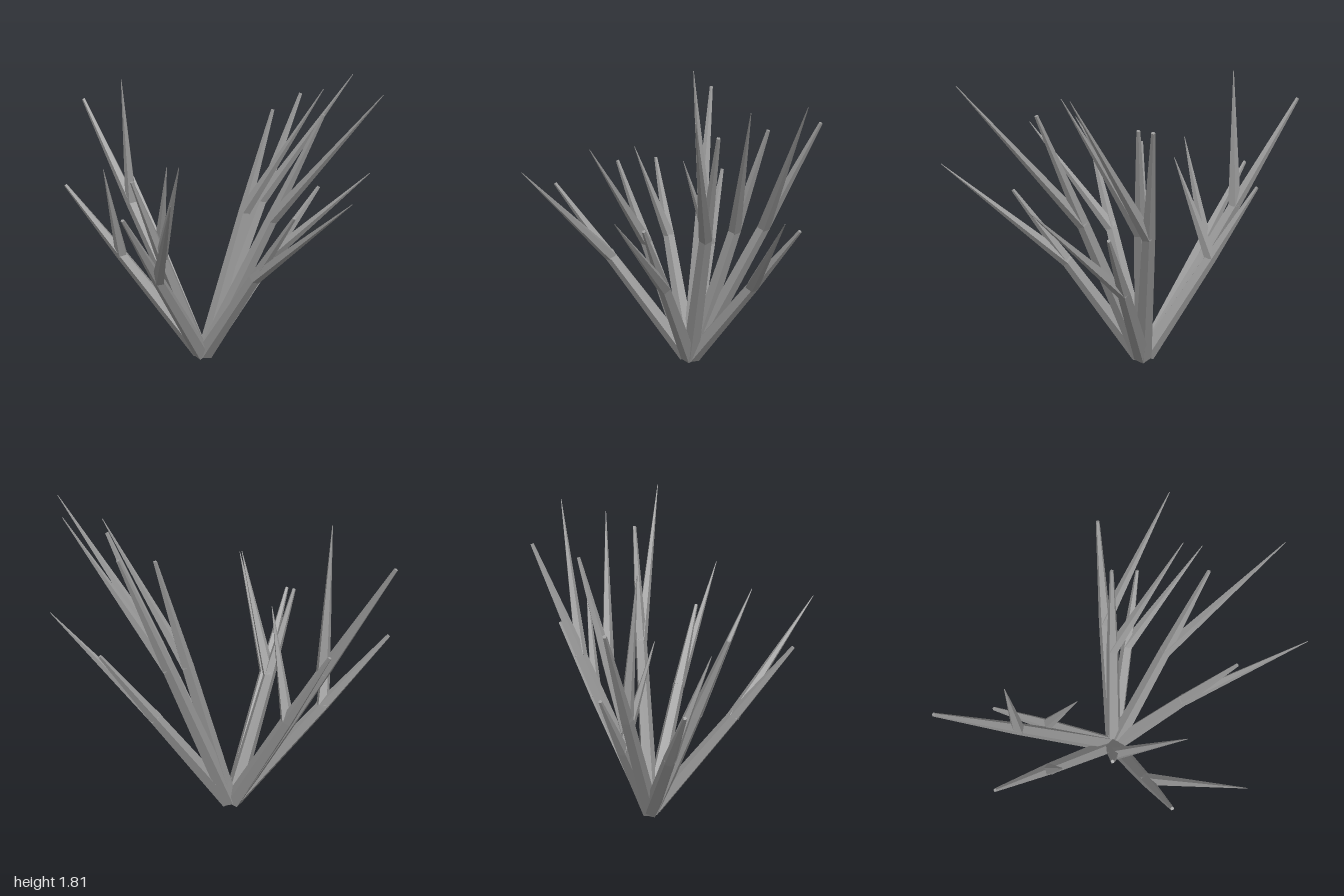
import * as THREE from 'three';

const UP = new THREE.Vector3(0, 1, 0);
const CENTRE = new THREE.Vector3(-0.08, 0.035, -0.2);
const SIDES = 5;
const FORK = 0.59; // share of the stem's length where its side spike grows

// each stem: its blunt tip, then the pointed tip of its side spike
const STEMS = [
  [[0.41, 1.64, -0.81], [0.76, 1.81, -0.6]],
  [[0.57, 1.07, -0.66], [0.91, 1.24, -0.45]],
  [[0.28, 1.58, -0.55], [0.62, 1.76, -0.34]],
  [[0.65, 1.645, -0.16], [1.0, 1.815, 0.05]],
  [[0.56, 1.13, 0.22], [0.9, 1.3, 0.43]],
  [[-0.32, 1.165, 0.6], [0.02, 1.34, 0.82]],
  [[-0.4, 1.265, 0.2], [-0.05, 1.435, 0.42]],
  [[-0.97, 1.11, -0.16], [-0.63, 1.285, 0.05]],
  [[-0.98, 1.585, -0.55], [-0.64, 1.76, -0.34]],
  [[-0.66, 1.09, -0.55], [-0.31, 1.26, -0.2]],
];

export function createModel() {
  const model = new THREE.Group();
  model.name = 'spikyPlant';
  const grey = new THREE.MeshStandardMaterial({ color: 0x999999, flatShading: true });
  grey.name = 'stemGrey';

  // tapered faceted rod between two points
  function rod(name, from, to, r0, r1) {
    const dir = to.clone().sub(from);
    const geometry = new THREE.CylinderGeometry(r1, r0, dir.length(), SIDES);
    const mesh = new THREE.Mesh(geometry, grey);
    mesh.name = name;
    mesh.position.copy(from).add(to).multiplyScalar(0.5);
    mesh.quaternion.setFromUnitVectors(UP, dir.normalize());
    return mesh;
  }

  STEMS.forEach(([tipXYZ, spikeXYZ], i) => {
    const tip = new THREE.Vector3(...tipXYZ);
    const spikeTip = new THREE.Vector3(...spikeXYZ);

    // roots sit in a tight ring, each a little towards its own side
    const lean = tip.clone().sub(CENTRE).setY(0).normalize().multiplyScalar(0.02);
    const root = CENTRE.clone().add(lean);
    const fork = root.clone().lerp(tip, FORK);

    const stem = new THREE.Group();
    stem.name = `stem${i + 1}`;
    stem.add(
      rod('lowerStem', root, fork, 0.054, 0.038),
      rod('upperStem', fork, tip, 0.038, 0.011),
      rod('sideSpike', fork, spikeTip, 0.04, 0.002),
    );
    model.add(stem);
  });

  return model;
}
